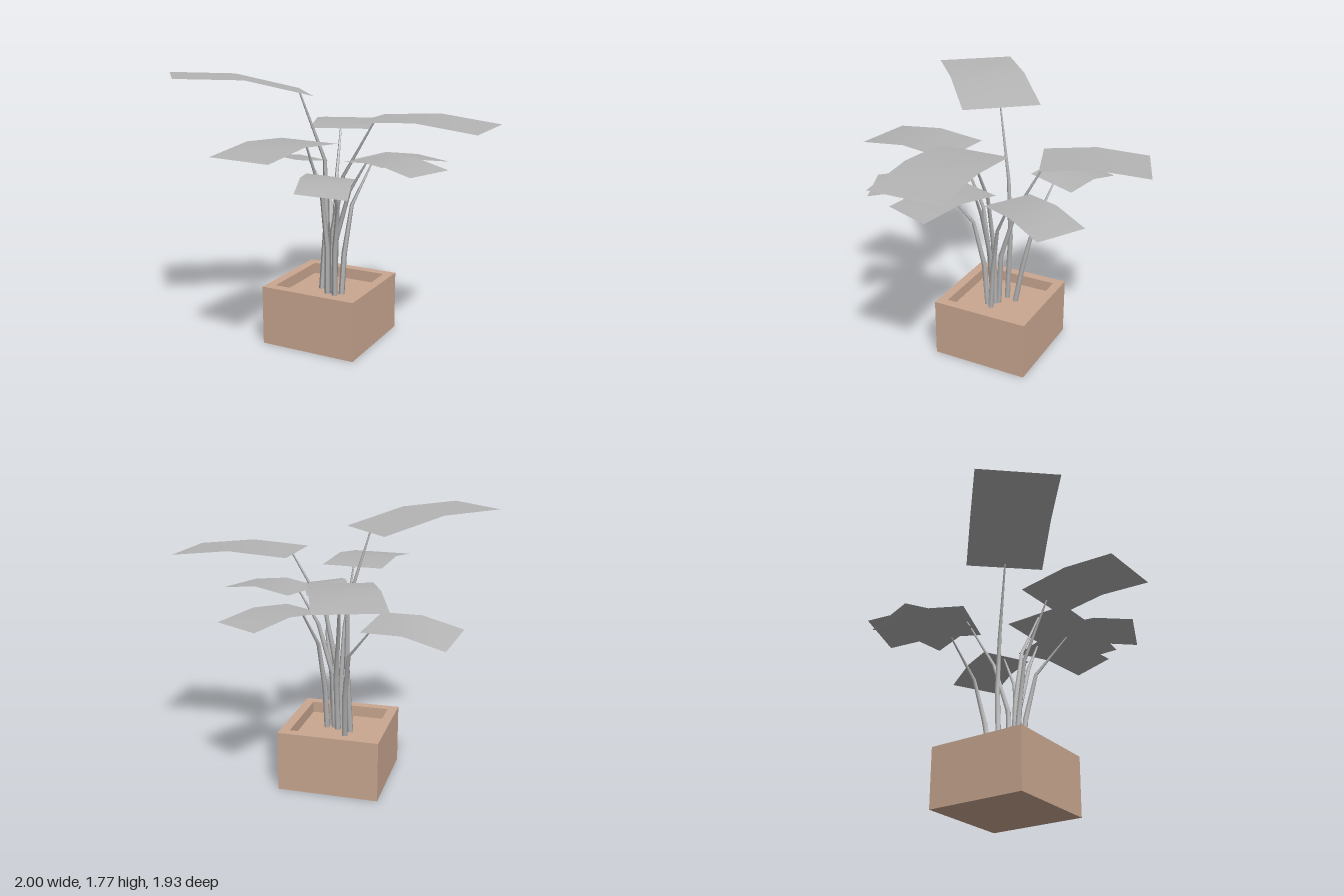
import * as THREE from 'three';

const clay = new THREE.MeshStandardMaterial({ color: 0xcaa791 });
clay.name = 'clay';
const foliage = new THREE.MeshStandardMaterial({ color: 0xb4b4b4, side: THREE.DoubleSide });
foliage.name = 'foliage grey';

const SOIL = 0.32;

// Each plant arm: centre of the leaf's inner edge, heading in degrees (0 = front, 90 = left),
// leaf width, the stem's foot [x, z] and its two bends.
// Optional: rise of the leaf's middle and tip above its inner edge, and sideways tilt.
const ARMS = [
  { leaf: [-0.125, 1.38, -0.26], heading: -160, width: 0.415, foot: [-0.05, 0], bends: [[-0.04, 0.68, -0.02], [-0.08, 1.02, -0.11]] },
  { leaf: [-0.205, 1.65, 0.06], heading: -49.7, width: 0.51, foot: [-0.14, -0.02], bends: [[-0.12, 0.8, -0.05], [-0.12, 1.2, -0.035]], rise: [0.103, 0.12] },
  { leaf: [0.23, 1.505, 0.025], heading: 90, width: 0.47, foot: [-0.04, 0.02], bends: [[-0.03, 0.75, 0.03], [0.045, 1.12, 0.03]] },
  { leaf: [-0.07, 1.378, 0.265], heading: -5.3, width: 0.415, foot: [-0.06, 0.05], bends: [[-0.05, 0.65, 0.07], [-0.06, 1, 0.12]] },
  { leaf: [0.128, 1.18, -0.15], heading: 150.3, width: 0.34, foot: [0.03, 0.02], bends: [[0.04, 0.6, 0], [0.07, 0.92, -0.05]] },
  { leaf: [0.19, 1.25, 0.025], heading: 70, width: 0.335, foot: [-0.02, 0.03], bends: [[0, 0.7, 0.04], [0.1, 1.03, 0.05]] },
  { leaf: [0.1, 1.178, 0.3], heading: 21.3, width: 0.298, foot: [0, 0.06], bends: [[0.01, 0.62, 0.08], [0.06, 0.94, 0.13]], tilt: 0.03 },
  { leaf: [-0.322, 1.147, -0.243], heading: -101.5, width: 0.327, foot: [-0.12, -0.09], bends: [[-0.13, 0.6, -0.14], [-0.17, 0.9, -0.2]], rise: [0.011, -0.045], tilt: -0.05 },
];

function mesh(geometry, material, name) {
  const m = new THREE.Mesh(geometry, material);
  m.name = name;
  return m;
}

function square(path, half) {
  return path.moveTo(-half, -half).lineTo(half, -half).lineTo(half, half).lineTo(-half, half).closePath();
}

// Square planter: hollow walls around a sunken soil block
function makePlanter() {
  const planter = new THREE.Group();
  planter.name = 'planter';
  const inner = 0.267;
  const outline = square(new THREE.Shape(), 0.33);
  outline.holes.push(square(new THREE.Path(), inner));
  const walls = new THREE.ExtrudeGeometry(outline, { depth: 0.395, bevelEnabled: false });
  walls.rotateX(-Math.PI / 2);
  const soil = new THREE.BoxGeometry(inner * 2, SOIL, inner * 2);
  soil.translate(0, SOIL / 2, 0);
  planter.add(mesh(walls, clay, 'planterWalls'), mesh(soil, clay, 'soil'));
  planter.position.set(-0.068, 0, -0.01);
  return planter;
}

// Thin leaf bent once across the middle
function makeLeaf([x, y, z], dir, width, [middle, tip], tilt) {
  const geometry = new THREE.PlaneGeometry(1, 2, 1, 2);
  const p = geometry.attributes.position;
  const lift = [0, middle, tip], length = width * 1.635;
  for (let i = 0; i < p.count; i++) {
    const side = p.getX(i), row = Math.round(p.getY(i) + 1);
    const along = length * row / 2, across = width * side;
    p.setXYZ(i,
      x + dir.x * along - dir.z * across,
      y + lift[row] + tilt * side,
      z + dir.z * along + dir.x * across);
  }
  geometry.computeVertexNormals();
  return mesh(geometry, foliage, 'leaf');
}

// Tapered stem with a ring of vertices at each point
function makeStem(points) {
  const radii = [0.02, 0.018, 0.013, 0.006];
  const geometry = new THREE.CylinderGeometry(1, 1, 3, 6, 3);
  const p = geometry.attributes.position;
  for (let i = 0; i < p.count; i++) {
    const row = Math.round(p.getY(i) + 1.5), [x, y, z] = points[row];
    p.setXYZ(i, x + p.getX(i) * radii[row], y, z + p.getZ(i) * radii[row]);
  }
  geometry.computeVertexNormals();
  return mesh(geometry, foliage, 'stem');
}

// Stem from the soil to just inside the leaf's inner edge, with its leaf
function makeArm({ leaf, heading, width, foot, bends, rise = [0.025, -0.017], tilt = 0 }) {
  const arm = new THREE.Group();
  arm.name = 'plantArm';
  const angle = THREE.MathUtils.degToRad(heading);
  const dir = new THREE.Vector3(Math.sin(angle), 0, Math.cos(angle));
  const top = [leaf[0] + dir.x * 0.04, leaf[1], leaf[2] + dir.z * 0.04];
  arm.add(
    makeStem([[foot[0], SOIL - 0.01, foot[1]], ...bends, top]),
    makeLeaf(leaf, dir, width, rise, tilt));
  return arm;
}

export function createModel() {
  const model = new THREE.Group();
  model.name = 'pottedPlant';
  model.add(makePlanter(), ...ARMS.map(makeArm));
  return model;
}
